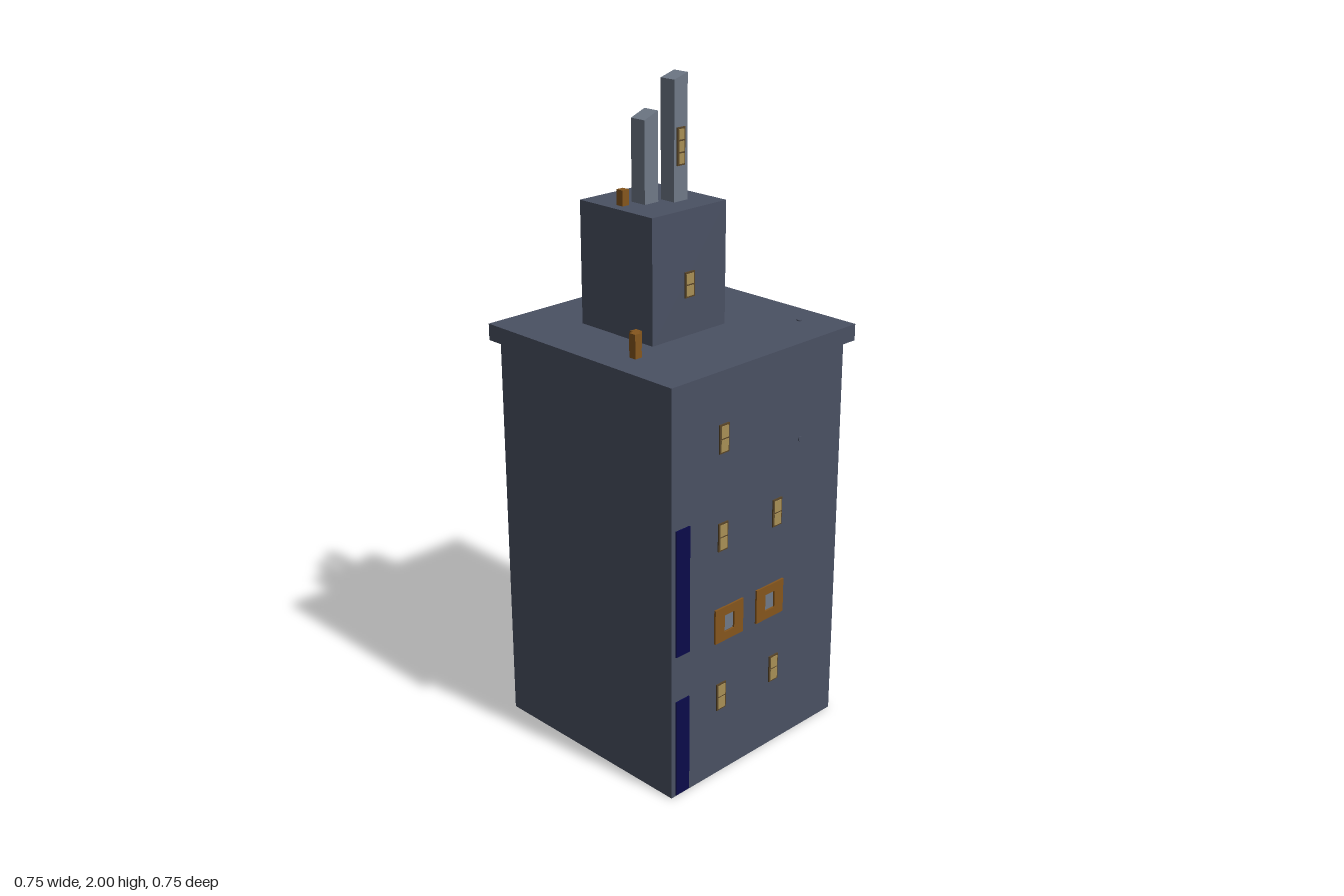
import * as THREE from 'three';

const mat = (name, color) => {
  const m = new THREE.MeshStandardMaterial({ color });
  m.name = name;
  return m;
};

export function createModel() {
  const model = new THREE.Group();
  model.name = 'towerBlock';
  const wall = mat('slateWall', 0x4a5163);
  const steel = mat('paleSteel', 0x6f7987);
  const brown = mat('rustBrown', 0x85561d);
  const navy = mat('navyTrim', 0x0a0a4a);
  const gold = mat('windowGold', 0xa88f55);
  const dark = mat('windowFrame', 0x5a4628);

  const add = (parent, name, geometry, material, x = 0, y = 0, z = 0) => {
    const mesh = new THREE.Mesh(geometry, material);
    mesh.name = name;
    mesh.position.set(x, y, z);
    parent.add(mesh);
    return mesh;
  };
  // Box given by its x, y and z ranges
  const block = (name, material, x0, x1, y0, y1, z0, z1) =>
    add(model, name, new THREE.BoxGeometry(x1 - x0, y1 - y0, z1 - z0), material,
      (x0 + x1) / 2, (y0 + y1) / 2, (z0 + z1) / 2);

  // Main masses
  const H = 0.351;
  block('mainBody', wall, -H, H, 0, 1.23, -H, H);
  block('roofSlab', wall, -0.374, 0.374, 1.23, 1.28, -0.374, 0.374);
  block('upperTower', wall, -0.18, 0.11, 1.28, 1.645, -0.185, 0.105);

  // Spires with tops sloping up towards +x
  const spire = (name, x0, x1, z0, z1, yLow, yHigh) => {
    const s = block(name, steel, x0, x1, 1.645, yHigh, z0, z1);
    const p = s.geometry.attributes.position;
    for (let i = 0; i < p.count; i++) {
      if (p.getY(i) > 0 && p.getX(i) < 0) p.setY(i, p.getY(i) - (yHigh - yLow));
    }
    s.geometry.computeVertexNormals();
  };
  spire('tallSpire', -0.016, 0.036, -0.028, 0.025, 1.985, 2);
  spire('shortSpire', -0.093, -0.041, -0.066, -0.013, 1.88, 1.9);

  // Roof posts: x, z, base, top
  [[-0.274, 0.135, 1.28, 1.35], [-0.22, 0.08, 1.28, 1.33], [0.255, -0.153, 1.28, 1.36],
    [-0.137, -0.055, 1.645, 1.69], [0.091, -0.055, 1.645, 1.805]].forEach(([x, z, y0, y1]) =>
    block('roofPost', brown, x - 0.012, x + 0.012, y0, y1, z - 0.012, z + 0.012));

  // Each wall group has local x along the wall and local z outwards
  const face = (name, x, z, turn) => {
    const g = new THREE.Group();
    g.name = name;
    g.position.set(x, 0, z);
    g.rotation.y = turn;
    model.add(g);
    return g;
  };
  const plate = (g, name, material, x, y, w, h, z = 0, d = 0.004) =>
    add(g, name, new THREE.BoxGeometry(w, h, d), material, x, y, z + d / 2);

  // Window: frame plate with a grid of panes
  const windowAt = (g, x, y, w, h, cols, rows) => {
    const win = new THREE.Group();
    win.name = 'window';
    g.add(win);
    plate(win, 'windowFrame', dark, x, y, w, h);
    const gap = 0.005, pw = (w - gap * (cols + 1)) / cols, ph = (h - gap * (rows + 1)) / rows;
    for (let c = 0; c < cols; c++) {
      for (let r = 0; r < rows; r++) {
        plate(win, 'windowPane', gold, x + (c - (cols - 1) / 2) * (pw + gap),
          y + (r - (rows - 1) / 2) * (ph + gap), pw, ph, 0.004, 0.002);
      }
    }
  };

  // Front wall
  const front = face('frontWall', 0, H, 0);
  [[-0.15, 1.07], [-0.15, 0.773], [0.077, 0.773], [-0.15, 0.258], [0.077, 0.258]]
    .forEach(([x, y]) => windowAt(front, x, y, 0.038, 0.086, 1, 2));
  plate(front, 'upperStrip', navy, -0.309, 0.655, 0.053, 0.39);
  plate(front, 'lowerStrip', navy, -0.309, 0.16, 0.053, 0.31);

  // Square brown surrounds with a small central pane
  const surround = new THREE.Shape([[-1, -1], [1, -1], [1, 1], [-1, 1]]
    .map(([a, b]) => new THREE.Vector2(a * 0.058, b * 0.054)));
  surround.holes.push(new THREE.Path([[-1, -1], [-1, 1], [1, 1], [1, -1]]
    .map(([a, b]) => new THREE.Vector2(a * 0.02, b * 0.027))));
  const surroundGeo = new THREE.ExtrudeGeometry(surround, { depth: 0.006, bevelEnabled: false });
  for (const x of [-0.122, 0.051]) {
    add(front, 'squareSurround', surroundGeo, brown, x, 0.494, 0);
    plate(front, 'surroundPane', steel, x, 0.494, 0.036, 0.05, 0, 0.002);
  }

  // Small round studs on the front wall and the roof
  const stud = new THREE.CylinderGeometry(0.008, 0.008, 0.004, 12);
  add(front, 'wallStud', stud, wall, 0.17, 0.975, 0.002).rotation.x = Math.PI / 2;
  add(model, 'roofStud', stud, wall, 0.283, 1.282, 0.24);

  // Right-hand wall on the +x side; local x is -z
  const side = face('sideWall', H, 0, Math.PI / 2);
  for (const y of [1.065, 0.807]) {
    windowAt(side, -0.22, y, 0.038, 0.086, 1, 2);
    windowAt(side, 0, y, 0.038, 0.086, 1, 2);
    windowAt(side, 0.22, y, 0.09, 0.086, 2, 2);
  }
  for (const x of [-0.22, 0, 0.22]) windowAt(side, x, 0.26, 0.038, 0.135, 1, 3);
  plate(side, 'horizontalStrip', navy, 0, 0.583, 0.68, 0.044);
  plate(side, 'upperStrip', navy, -0.307, 0.476, 0.065, 0.17);
  plate(side, 'lowerStrip', navy, -0.307, 0.16, 0.065, 0.31);
  plate(side, 'door', navy, 0.043, 0.091, 0.075, 0.174);

  // Upper tower and spire windows
  windowAt(face('towerFront', 0, 0.105, 0), -0.037, 1.43, 0.038, 0.075, 1, 2);
  const towerSide = face('towerSide', 0.11, 0, Math.PI / 2);
  for (const y of [1.55, 1.413]) windowAt(towerSide, 0.037, y, 0.038, 0.075, 1, 2);
  windowAt(face('spireFront', 0, 0.025, 0), 0.008, 1.8, 0.03, 0.107, 1, 3);

  return model;
}
